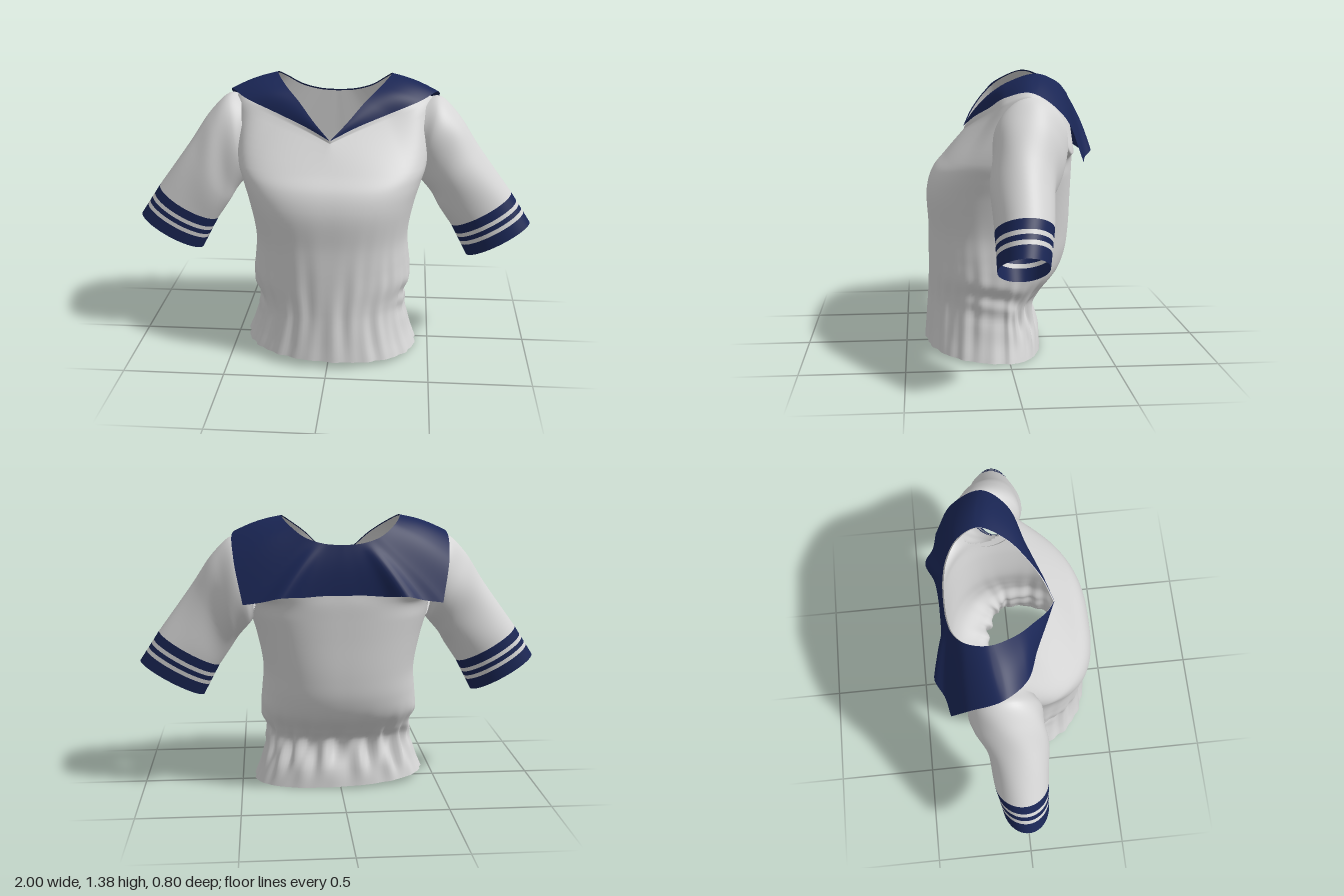
import * as THREE from 'three';

const V = (a) => new THREE.Vector3(...a);
const curve = (keys) => new THREE.CatmullRomCurve3(keys.map(V));
const bump = (v, c, w) => Math.exp(-(((v - c) / w) ** 2));
const { smoothstep } = THREE.MathUtils;

// Smooth surface through rows of points, each row closed around; isHole leaves openings
function loft(rows, material, name, isHole = () => false) {
  const n = rows[0].length, index = [];
  for (let r = 0; r < rows.length - 1; r++) {
    for (let i = 0; i < n; i++) {
      if (isHole(rows[r][i])) continue;
      const j = (i + 1) % n;
      const a = r * n + i, b = r * n + j, c = a + n, d = b + n;
      index.push(a, b, d, a, d, c);
    }
  }
  const geo = new THREE.BufferGeometry().setFromPoints(rows.flat());
  geo.setIndex(index);
  geo.computeVertexNormals();
  const mesh = new THREE.Mesh(geo, material);
  mesh.name = name;
  return mesh;
}

// Half outlines from front centre, over the +x side, to back centre
const neck = curve([
  [0, 1.12, 0.2], [0.08, 1.2, 0.155], [0.16, 1.285, 0.083], [0.235, 1.348, -0.003],
  [0.287, 1.39, -0.13], [0.255, 1.355, -0.23], [0.18, 1.3, -0.29], [0.09, 1.272, -0.313], [0, 1.265, -0.318],
]);
const yoke = curve([
  [0, 1.105, 0.195], [0.12, 1.15, 0.143], [0.27, 1.2, 0.08], [0.42, 1.25, 0.018],
  [0.495, 1.28, -0.09], [0.485, 1.17, -0.2], [0.42, 1.03, -0.285], [0.24, 1.03, -0.322], [0, 1.03, -0.333],
]);
// Collar edge: front and shoulder, then a sharp corner and the wavy back edge
const collarFront = curve([
  [0, 1.12, 0.2], [0.12, 1.175, 0.152], [0.27, 1.228, 0.088], [0.43, 1.285, 0.025],
  [0.518, 1.31, -0.09], [0.517, 1.2, -0.24], [0.475, 0.99, -0.335],
]);
const collarBack = curve([
  [0.475, 0.99, -0.335], [0.385, 1.005, -0.355], [0.295, 1.03, -0.398], [0.2, 1.025, -0.36], [0.1, 1.03, -0.348], [0, 1.03, -0.346],
]);
const collarEdge = {
  getPoint: (t) => (t < 0.75 ? collarFront.getPoint(t / 0.75) : collarBack.getPoint((t - 0.75) / 0.25)),
};

// Point on a mirrored outline, angle 0..2PI
function onOutline(c, angle) {
  const right = angle > Math.PI;
  const p = c.getPoint((right ? 2 * Math.PI - angle : angle) / Math.PI);
  if (right) p.x *= -1;
  return p;
}

// Torso rings: height, half width, front z, back z
const torsoRings = [
  [0.03, 0.435, 0.4, -0.185], [0.12, 0.4, 0.392, -0.178], [0.25, 0.37, 0.383, -0.145],
  [0.31, 0.375, 0.381, -0.19], [0.4, 0.398, 0.38, -0.27], [0.5, 0.39, 0.38, -0.31],
  [0.62, 0.383, 0.38, -0.325], [0.8, 0.415, 0.387, -0.33], [0.9, 0.445, 0.358, -0.333], [0.98, 0.468, 0.292, -0.335],
];

function torsoPoint([y, hw, zf, zb], a) {
  // oval at the hem, squarer at the chest
  const n = 2.2 + 0.45 * smoothstep(y, 0.35, 0.8);
  const pow = (v) => Math.sign(v) * Math.abs(v) ** (2 / n);
  const s = pow(Math.sin(a)), c = pow(Math.cos(a)), zc = 0.03;
  const tilt = (0.015 * Math.cos(a) - 0.02 * Math.sin(a)) * Math.max(0, 1 - y / 0.3);
  return new THREE.Vector3(hw * s, y + tilt, zc + c * (c > 0 ? zf - zc : zc - zb));
}

// Openings in the torso behind the sleeves
const inArmhole = (p) => Math.abs(p.x) > 0.4 && ((p.z + 0.085) / 0.12) ** 2 + ((p.y - 1.075) / 0.17) ** 2 < 1;

function buildTorso(material) {
  const N = 160, M = 70, K = 8, columns = [];
  for (let i = 0; i < N; i++) {
    const a = (i / N) * Math.PI * 2;
    const top = onOutline(yoke, a);
    const side = new THREE.CatmullRomCurve3([...torsoRings.map((r) => torsoPoint(r, a)), top]);
    const col = side.getPoints(M);
    const back = smoothstep(-Math.cos(a), 0, 0.7);
    for (const p of col) {
      // gathered waist at the back, soft vertical folds elsewhere
      const gather = back * 0.013 * bump(p.y, 0.2, 0.12) * (Math.sin(17 * a + 9 * p.y) + 0.6 * Math.sin(29 * a - 14 * p.y) - 0.6 - bump(Math.sin(a), 0, 0.3));
      const fold = (1 - back) * 0.004 * bump(p.y, 0.2, 0.3) * (Math.sin(19 * a + 4 * p.y) + Math.sin(31 * a - 3 * p.y));
      const pinch = 0.007 * bump(Math.abs(Math.sin(a)), 1, 0.1) * bump(p.y, 0.3, 0.1) * Math.sin(p.y * 55 + 4 * a);
      const d = gather + fold + pinch;
      p.x += Math.sin(a) * d;
      p.z += Math.cos(a) * d;
    }
    // shoulder cloth below the collar
    const end = onOutline(neck, a);
    end.y -= 0.006;
    end.z *= 0.98;
    for (let k = 1; k <= K; k++) col.push(top.clone().lerp(end, k / K));
    columns.push(col);
  }
  const rows = columns[0].map((_, r) => columns.map((c) => c[r]));
  return loft(rows, material, 'torso', inArmhole);
}

function buildCollar(material) {
  const N = 192, S = 12, rows = [];
  for (let k = 0; k <= S; k++) {
    const s = 1 - k / S, row = [];
    for (let i = 0; i < N; i++) {
      const a = (i / N) * Math.PI * 2;
      const p = onOutline(neck, a).lerp(onOutline(collarEdge, a), s);
      const puff = Math.sin(Math.PI * s) * Math.min(1, 2 * Math.abs(Math.sin(a / 2)));
      p.y += 0.01 * puff;
      p.z += 0.006 * puff * Math.sign(Math.cos(a));
      row.push(p);
    }
    rows.push(row);
  }
  return loft(rows, material, 'collar');
}

// Sleeve rings: top x, top y, bottom x, bottom y, z centre, z radius
const sleeveRings = [
  [0.46, 1.275, 0.425, 0.885, -0.085, 0.145], [0.525, 1.288, 0.445, 0.86, -0.085, 0.17],
  [0.62, 1.205, 0.5, 0.795, -0.067, 0.165], [0.73, 1.045, 0.54, 0.73, -0.038, 0.146],
  [0.9, 0.812, 0.603, 0.637, -0.032, 0.132],
];
const cuffEnd = [1.0, 0.66, 0.685, 0.48, -0.02, 0.115];

function sleeveRing([tx, ty, bx, by, zc, zr], sign) {
  const ring = [];
  for (let i = 0; i < 64; i++) {
    const a = (i / 64) * Math.PI * 2;
    const h = (1 + Math.cos(a)) / 2;
    ring.push(new THREE.Vector3(sign * (bx + (tx - bx) * h), by + (ty - by) * h, zc + zr * Math.sin(a)));
  }
  return sign > 0 ? ring : ring.reverse();
}

function buildSleeve(sign, cloth, navy) {
  const group = new THREE.Group();
  group.name = sign > 0 ? 'leftSleeve' : 'rightSleeve';
  const keys = sleeveRings.map((r) => sleeveRing(r, sign));
  const columns = keys[0].map((_, i) => new THREE.CatmullRomCurve3(keys.map((k) => k[i])).getPoints(32));
  // soft folds
  columns.forEach((col, i) => col.forEach((p, r) => {
    const w = Math.sin((r / 32) * Math.PI);
    p.z += 0.004 * w * Math.sin((i / 64) * Math.PI * 8 + r * 0.35);
  }));
  group.add(loft(columns[0].map((_, r) => columns.map((c) => c[r])), cloth, 'sleeve'));

  // cuff bands, alternating navy and pale stripes
  const start = sleeveRings[sleeveRings.length - 1];
  const at = (t) => sleeveRing(start.map((v, i) => v + (cuffEnd[i] - v) * t), sign);
  const cuts = [0, 0.27, 0.39, 0.53, 0.65, 1];
  for (let b = 0; b < 5; b++) {
    const stripe = b % 2 === 1;
    group.add(loft([at(cuts[b]), at(cuts[b + 1])], stripe ? cloth : navy, stripe ? 'cuffStripe' : 'cuffBand'));
  }
  return group;
}

export function createModel() {
  const make = (name, color) => {
    const m = new THREE.MeshStandardMaterial({ color, side: THREE.DoubleSide });
    m.name = name;
    return m;
  };
  const cloth = make('whiteCloth', 0xd6d6d6);
  const navy = make('navyCloth', 0x1a2655);

  const model = new THREE.Group();
  model.name = 'sailorBlouse';
  model.add(buildTorso(cloth), buildCollar(navy));
  for (const sign of [1, -1]) model.add(buildSleeve(sign, cloth, navy));
  return model;
}
